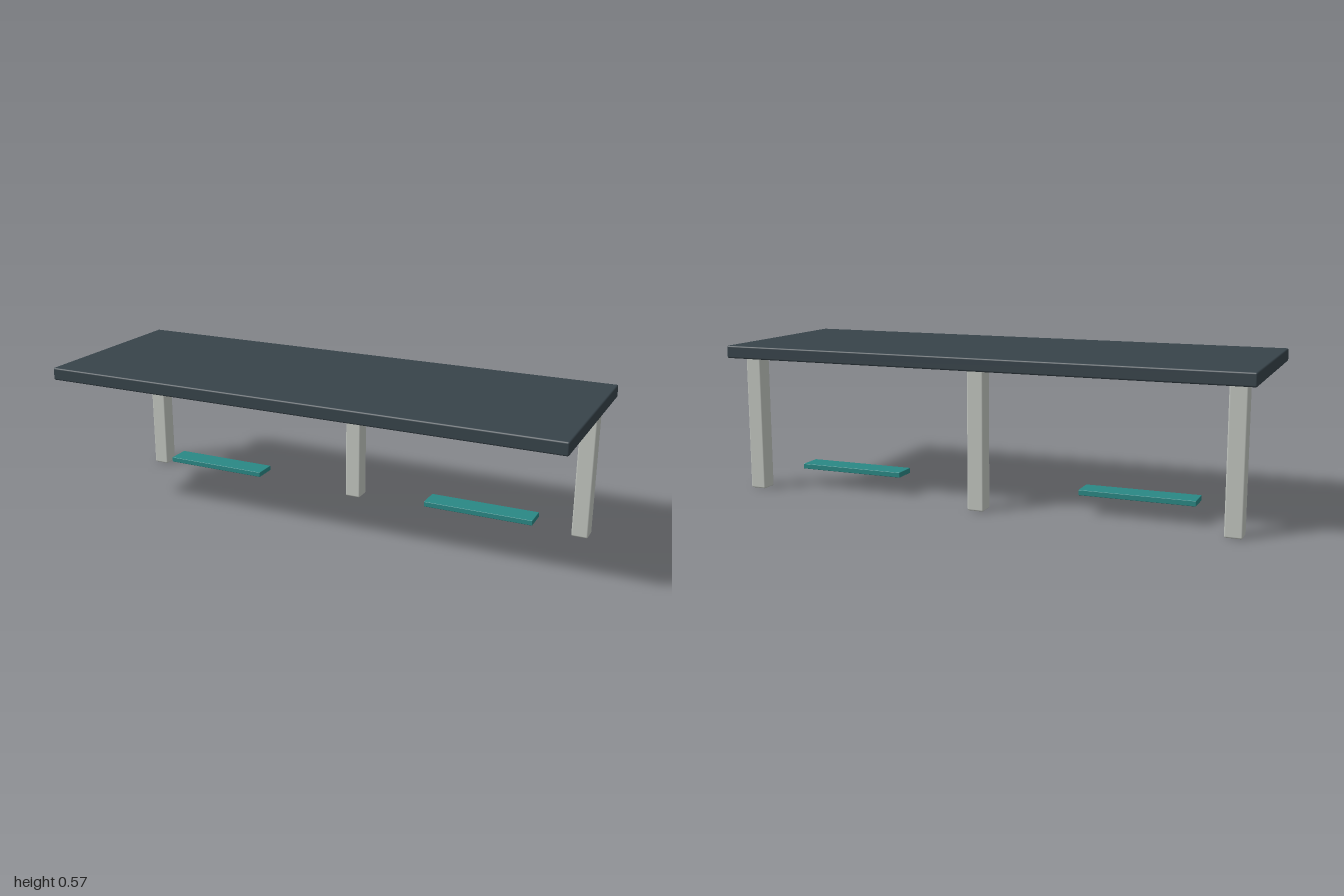
import * as THREE from 'three';
import { RoundedBoxGeometry } from 'three/addons/geometries/RoundedBoxGeometry.js';

const material = (name, color) => {
  const m = new THREE.MeshStandardMaterial({ color });
  m.name = name;
  return m;
};

export function createModel() {
  const slate = material('slate', 0x37434a);
  const paleGrey = material('pale grey', 0xc2c6c0);
  const teal = material('teal', 0x2a8885);
  const paleCyan = material('pale cyan', 0x8accd0);

  const model = new THREE.Group();
  model.name = 'shelter';

  // Box with softened edges, centred on x and z and standing on y
  const addBox = (name, mat, [w, h, d], [x, y, z], radius) => {
    const mesh = new THREE.Mesh(new RoundedBoxGeometry(w, h, d, 2, radius), mat);
    mesh.name = name;
    mesh.position.set(x, y + h / 2, z);
    model.add(mesh);
  };

  // Flat roof slab
  addBox('roof', slate, [2, 0.048, 0.714], [0, 0.52, 0], 0.006);

  // Row of posts along the back
  for (const x of [-0.931, 0, 0.931]) {
    addBox('post', paleGrey, [0.063, 0.52, 0.063], [x, 0, -0.257], 0.006);
  }

  // One bench and one light strip in each bay
  for (const side of [-1, 1]) {
    addBox('bench', teal, [0.425, 0.02, 0.091], [side * 0.571, 0.07, -0.142], 0.002);
    addBox('lightStrip', paleCyan, [0.359, 0.011, 0.016], [side * 0.571, 0.508, 0], 0.001);
  }

  return model;
}
